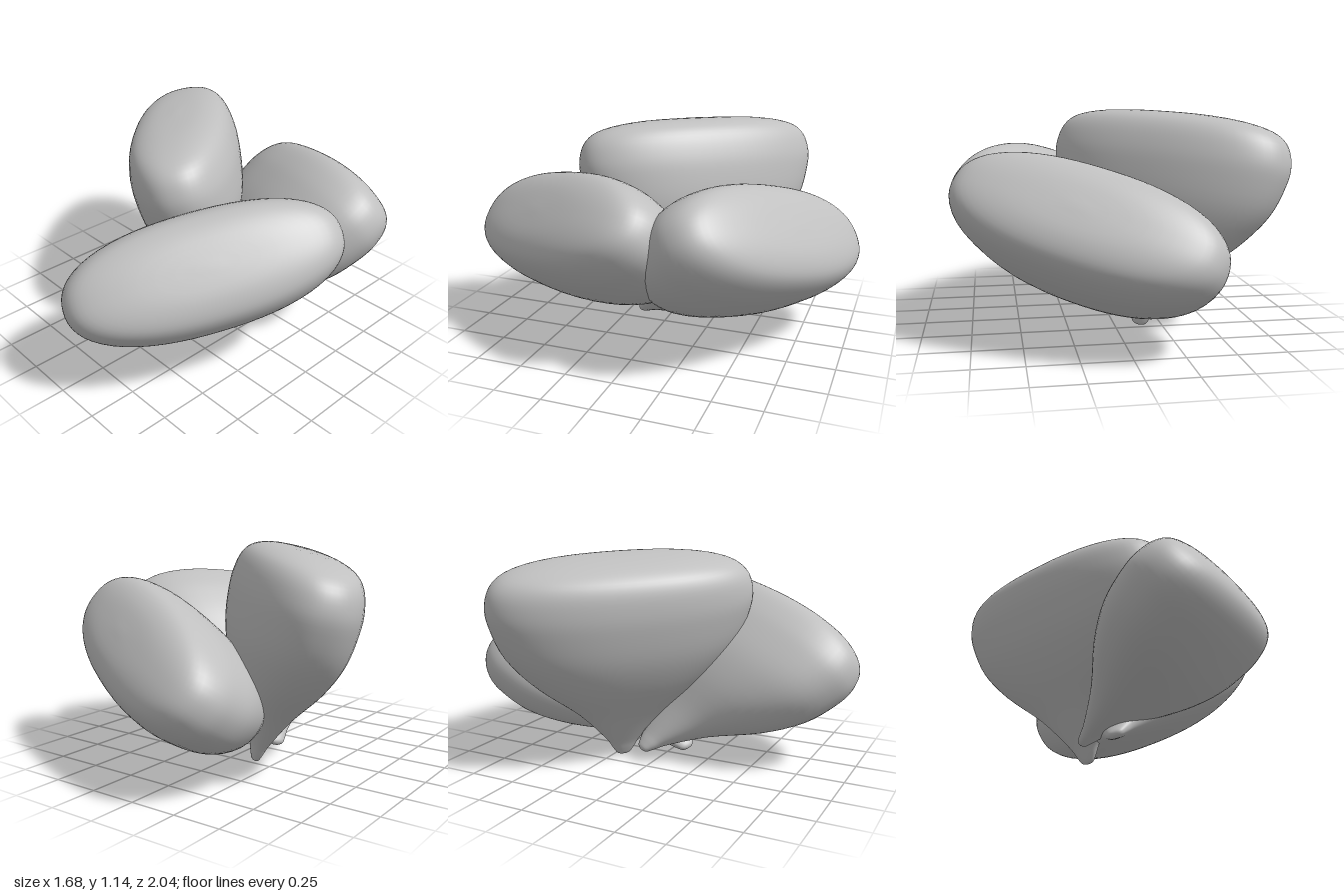
import * as THREE from 'three';
import { mergeVertices } from 'three/addons/utils/BufferGeometryUtils.js';

// Half-profile of one kernel: [radius along the wide axis, height], rim at height 1
const PROFILE = [
  [0, 0], [0.035, 0.01], [0.062, 0.05], [0.105, 0.12], [0.255, 0.3], [0.475, 0.5], [0.62, 0.68],
  [0.685, 0.85], [0.695, 0.96], [0.655, 1.06], [0.55, 1.12], [0.33, 1.155], [0, 1.165],
];
const BLUNTNESS = 2.3; // superellipse exponent of the cross-section

// A flattened drop running from its tip to the centre of its rim, wide along `wide`
function kernelGeometry(tip, rim, wide) {
  const base = new THREE.Vector3(...tip);
  const axis = new THREE.Vector3(...rim).sub(base);
  const length = axis.length();
  axis.normalize();
  const across = new THREE.Vector3(...wide);
  across.addScaledVector(axis, -across.dot(axis)).normalize();
  const depth = new THREE.Vector3().crossVectors(across, axis);

  const curve = new THREE.SplineCurve(PROFILE.map(([r, h]) => new THREE.Vector2(r, h)));
  const points = curve.getPoints(48).map((p) => new THREE.Vector2(Math.max(p.x, 0), p.y));
  let geo = new THREE.LatheGeometry(points, 64);

  // Blunt and flatten the round body, more strongly towards the rim
  const pos = geo.attributes.position;
  for (let i = 0; i < pos.count; i++) {
    const x = pos.getX(i), h = pos.getY(i), z = pos.getZ(i);
    const angle = Math.atan2(z, x);
    const sum = Math.abs(Math.cos(angle)) ** BLUNTNESS + Math.abs(Math.sin(angle)) ** BLUNTNESS;
    const k = sum ** (-1 / BLUNTNESS);
    pos.setXYZ(i, x * k, h * length, z * k * (0.54 - 0.125 * h));
  }
  geo.applyMatrix4(new THREE.Matrix4().makeBasis(across, axis, depth).setPosition(base));

  // Weld the seam so the shading is smooth all round
  geo.deleteAttribute('uv');
  geo.deleteAttribute('normal');
  geo = mergeVertices(geo, 1e-4);
  geo.computeVertexNormals();
  return geo;
}

export function createModel() {
  const group = new THREE.Group();
  group.name = 'kernelCluster';
  const grey = new THREE.MeshStandardMaterial({ color: 0xc0c0c0 });
  grey.name = 'grey';

  const kernels = [
    { name: 'uprightKernel', tip: [-0.13, 0, -0.21], rim: [-0.3, 0.96, -0.095], wide: [0.7, 0.04, 0.71] },
    { name: 'frontKernel', tip: [-0.18, 0.06, -0.07], rim: [0.435, 0.67, 0.415], wide: [0.55, 0.24, -0.8] },
    { name: 'backKernel', tip: [-0.02, 0.05, 0.14], rim: [0.225, 0.64, -0.65], wide: [0.87, 0.26, 0.43] },
  ];
  for (const { name, tip, rim, wide } of kernels) {
    const mesh = new THREE.Mesh(kernelGeometry(tip, rim, wide), grey);
    mesh.name = name;
    group.add(mesh);
  }
  return group;
}
